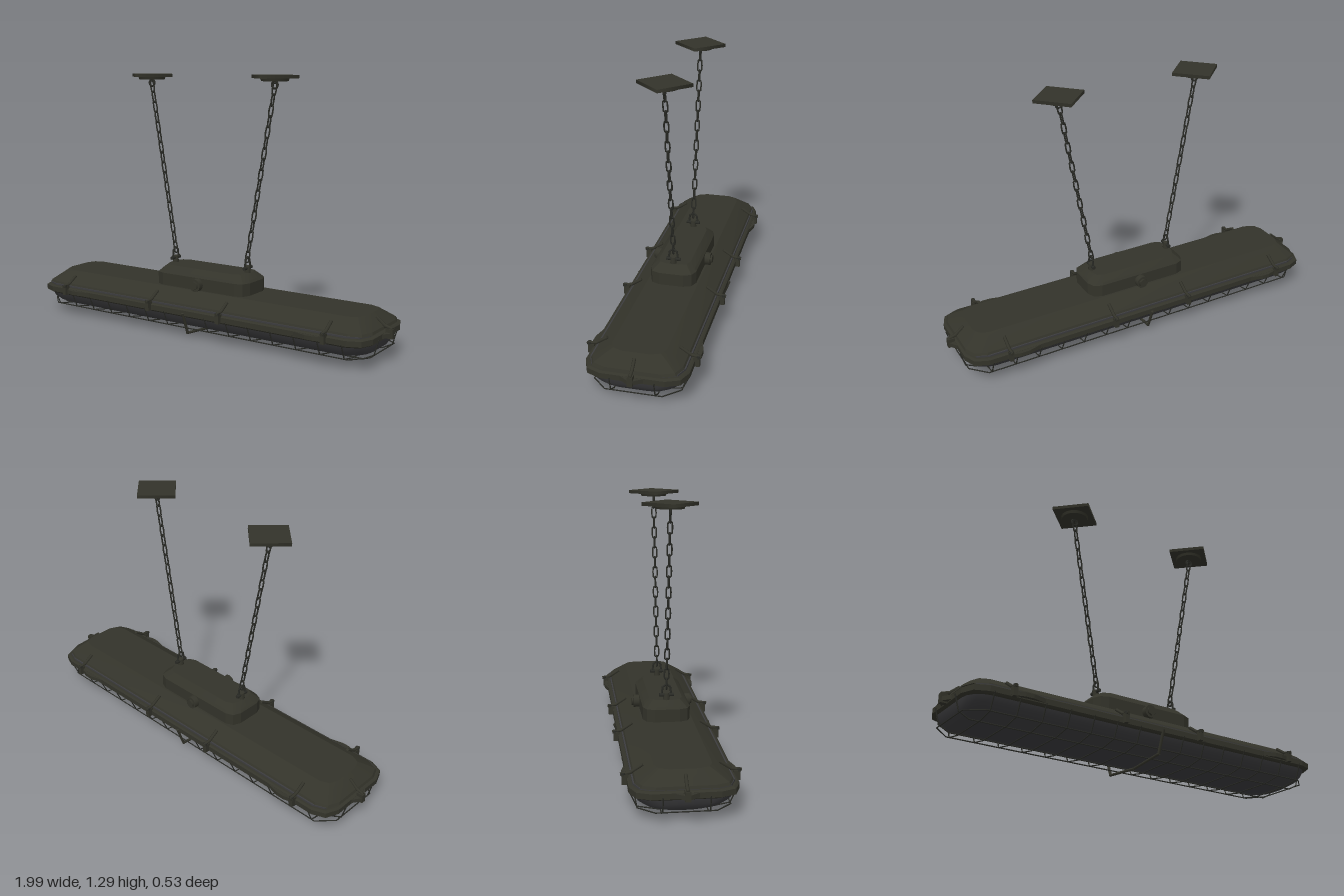
import * as THREE from 'three';
import { toCreasedNormals, mergeGeometries } from 'three/addons/utils/BufferGeometryUtils.js';

const paint = new THREE.MeshStandardMaterial({ color: 0x33332a });
paint.name = 'olive paint';
const glass = new THREE.MeshStandardMaterial({ color: 0x3b3b3d });
glass.name = 'grey diffuser';
const steel = new THREE.MeshStandardMaterial({ color: 0x2a2b26 });
steel.name = 'dark steel';

// Stacked rounded rectangles, each [half x, half z, corner radius, y], from bottom to top
function loft(rings, segs, crease) {
  const pos = [], idx = [], n = 4 * (segs + 1);
  for (const [hx, hz, r, y] of rings) {
    for (let q = 0; q < 4; q++) {
      const sx = q === 0 || q === 3 ? 1 : -1, sz = q < 2 ? 1 : -1;
      for (let s = 0; s <= segs; s++) {
        const a = (q + s / segs) * Math.PI / 2;
        pos.push(sx * (hx - r) + r * Math.cos(a), y, sz * (hz - r) + r * Math.sin(a));
      }
    }
  }
  for (let i = 0; i < rings.length - 1; i++) {
    for (let j = 0; j < n; j++) {
      const a = i * n + j, b = i * n + (j + 1) % n;
      idx.push(a, a + n, b, a + n, b + n, b);
    }
  }
  const last = (rings.length - 1) * n, c = rings.length * n;
  pos.push(0, rings[0][3], 0, 0, rings[rings.length - 1][3], 0);
  for (let j = 0; j < n; j++) {
    const k = (j + 1) % n;
    idx.push(c, j, k, c + 1, last + k, last + j);
  }
  const g = new THREE.BufferGeometry();
  g.setAttribute('position', new THREE.Float32BufferAttribute(pos, 3));
  g.setIndex(idx);
  return toCreasedNormals(g, crease);
}

// Straight rods joining a list of points
function rods(points, r) {
  const v = points.map(p => new THREE.Vector3(...p));
  return mergeGeometries(v.slice(1).map((b, i) => {
    const d = b.clone().sub(v[i]);
    const g = new THREE.CylinderGeometry(r, r, d.length() + r, 6);
    g.applyQuaternion(new THREE.Quaternion().setFromUnitVectors(new THREE.Vector3(0, 1, 0), d.normalize()));
    const m = b.clone().add(v[i]).multiplyScalar(0.5);
    return g.translate(m.x, m.y, m.z);
  }));
}

export function createModel() {
  const model = new THREE.Group();
  model.name = 'hangingLamp';
  const add = (name, geometry, material, x = 0, y = 0, z = 0, parent = model) => {
    const m = new THREE.Mesh(geometry, material);
    m.name = name;
    m.position.set(x, y, z);
    parent.add(m);
    return m;
  };

  // Housing
  add('diffuser', loft([[0.86, 0.09, 0.08, 0.04], [0.905, 0.14, 0.11, 0.046], [0.93, 0.18, 0.11, 0.063],
    [0.945, 0.205, 0.1, 0.088], [0.95, 0.215, 0.09, 0.12]], 4, 0.7), glass);
  add('rim', loft([[0.955, 0.228, 0.09, 0.113], [0.965, 0.236, 0.09, 0.12], [0.965, 0.236, 0.09, 0.146],
    [0.955, 0.228, 0.09, 0.152]], 2, 0.3), paint);
  add('gasket', loft([[0.945, 0.218, 0.08, 0.15], [0.945, 0.218, 0.08, 0.16]], 2, 0.3), glass);
  add('cover', loft([[0.955, 0.212, 0.08, 0.158], [0.95, 0.206, 0.08, 0.17], [0.91, 0.155, 0.07, 0.205],
    [0.89, 0.125, 0.06, 0.223]], 2, 0.3), paint);
  add('gearBox', loft([[0.272, 0.115, 0.055, 0.21], [0.272, 0.115, 0.055, 0.285],
    [0.262, 0.105, 0.055, 0.297], [0.235, 0.08, 0.05, 0.322]], 2, 0.3), paint);

  for (const s of [1, -1]) {
    // Round cable glands on the gear box
    const gland = add('cableGland', new THREE.CylinderGeometry(0.032, 0.032, 0.05, 12), paint, 0, 0.252, s * 0.118);
    gland.rotation.x = Math.PI / 2;
    const nut = add('glandNut', new THREE.CylinderGeometry(0.022, 0.022, 0.02, 6), paint, 0, 0.252, s * 0.142);
    nut.rotation.x = Math.PI / 2;

    // Side clamps with sloping levers
    for (const x of [-0.77, -0.21, 0.21, 0.77]) {
      add('clamp', new THREE.BoxGeometry(0.02, 0.045, 0.03), paint, x, 0.14, s * 0.243);
      add('clampLever', rods([[x, 0.163, s * 0.26], [x, 0.17, s * 0.22], [x, 0.202, s * 0.17]], 0.008), paint);
      add('clampBolt', new THREE.CylinderGeometry(0.011, 0.011, 0.014, 8), steel, x, 0.163, s * 0.252);
    }

    // End clamps
    add('endClamp', new THREE.BoxGeometry(0.034, 0.045, 0.024), paint, s * 0.98, 0.14, 0);
    add('endClampLever', rods([[s * 0.988, 0.163, 0], [s * 0.955, 0.172, 0], [s * 0.915, 0.205, 0]], 0.008), paint);

    // Tapered brackets on the rim ends and sides
    const bracket = (len, depth) => {
      const shape = new THREE.Shape([[-len, 0], [len, 0], [len * 0.2, depth], [-len * 0.2, depth]]
        .map(p => new THREE.Vector2(...p)));
      return new THREE.ExtrudeGeometry(shape, { depth: 0.02, bevelEnabled: false })
        .rotateX(Math.PI / 2).translate(0, 0.145, 0);
    };
    add('endBracket', bracket(0.06, 0.032), paint, s * 0.96).rotation.y = s * Math.PI / 2;
    for (const x of [-0.7, 0.7]) {
      add('sideBracket', bracket(0.1, 0.022), paint, x, 0, s * 0.232).rotation.y = s > 0 ? 0 : Math.PI;
    }
  }

  // Wire guard under the diffuser
  const guard = new THREE.Group();
  guard.name = 'guard';
  model.add(guard);
  for (let i = -7; i <= 7; i++) {
    if (i === 0) continue;
    const x = i * 0.122;
    add('guardHoop', rods([[x, 0.125, 0.235], [x, 0.05, 0.2], [x, 0.034, 0.11], [x, 0.034, -0.11],
      [x, 0.05, -0.2], [x, 0.125, -0.235]], 0.003), steel, 0, 0, 0, guard);
  }
  for (const z of [-0.1, 0.1]) {
    add('guardRail', rods([[-0.97, 0.13, z], [-0.95, 0.06, z], [-0.9, 0.034, z], [0.9, 0.034, z],
      [0.95, 0.06, z], [0.97, 0.13, z]], 0.003), steel, 0, 0, 0, guard);
  }
  add('guardFrame', rods([[-0.87, 0.05, 0.2], [0.87, 0.05, 0.2], [0.945, 0.055, 0.13], [0.945, 0.055, -0.13],
    [0.87, 0.05, -0.2], [-0.87, 0.05, -0.2], [-0.945, 0.055, -0.13], [-0.945, 0.055, 0.13],
    [-0.87, 0.05, 0.2]], 0.003), steel, 0, 0, 0, guard);
  add('centreHoop', rods([[0, 0.13, 0.24], [0, 0.026, 0.2], [0, 0.007, 0], [0, 0.026, -0.2],
    [0, 0.13, -0.24]], 0.007), paint, 0, 0, 0, guard);

  // Chain link: an elongated ring
  const link = new THREE.TorusGeometry(0.011, 0.0042, 5, 12);
  const lp = link.attributes.position;
  for (let i = 0; i < lp.count; i++) lp.setY(i, lp.getY(i) + Math.sign(Math.round(lp.getY(i) * 1e5)) * 0.018);
  link.computeVertexNormals();

  for (const s of [1, -1]) {
    // Lug on the gear box
    const lug = new THREE.Group();
    lug.name = 'lug';
    model.add(lug);
    const x = s * 0.22;
    add('lugPost', new THREE.CylinderGeometry(0.014, 0.018, 0.06, 8), paint, x, 0.325, 0, lug);
    add('lugPin', new THREE.CylinderGeometry(0.009, 0.009, 0.07, 8), steel, x, 0.345, 0, lug).rotation.x = Math.PI / 2;
    add('shackle', rods([[x, 0.345, 0.024], [x, 0.385, 0.018], [x, 0.398, 0], [x, 0.385, -0.018],
      [x, 0.345, -0.024]], 0.005), steel, 0, 0, 0, lug);

    // Chain with alternating links
    const a = new THREE.Vector3(x, 0.4, 0), b = new THREE.Vector3(s * 0.363, 1.22, 0);
    const chain = new THREE.Group();
    chain.name = 'chain';
    chain.position.copy(a);
    chain.quaternion.setFromUnitVectors(new THREE.Vector3(0, 1, 0), b.clone().sub(a).normalize());
    model.add(chain);
    const n = 17, step = a.distanceTo(b) / (n - 1);
    for (let i = 0; i < n; i++) {
      add('chainLink', link, steel, 0, i * step, 0, chain).rotation.y = i % 2 ? Math.PI / 2 : 0;
    }

    // Ceiling plate
    const cx = s * 0.365;
    add('ceilingHook', new THREE.TorusGeometry(0.017, 0.005, 6, 14), steel, cx, 1.24, 0);
    add('ceilingBoss', new THREE.CylinderGeometry(0.07, 0.065, 0.014, 16), paint, cx, 1.264, 0);
    add('ceilingPlate', new THREE.CylinderGeometry(0.13, 0.13, 0.016, 4), paint, cx, 1.278, 0);
  }
  return model;
}
